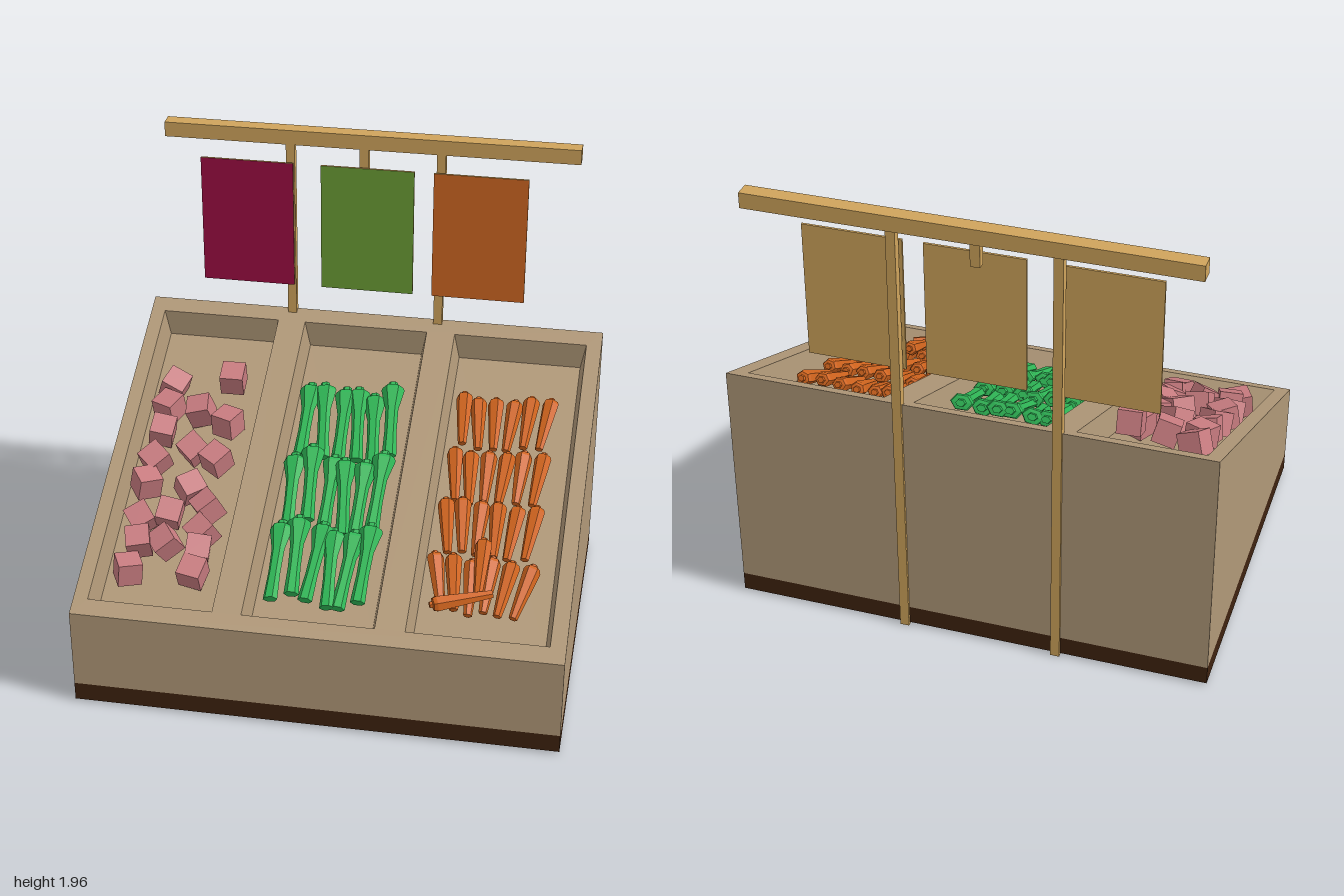
import * as THREE from 'three';

const mat = (name, color) => {
  const m = new THREE.MeshStandardMaterial({ color });
  m.name = name;
  return m;
};

// Flat faces from four-cornered lists [a, b, c, d], counter-clockwise from outside
function quads(list) {
  const pos = [];
  for (const [a, b, c, d] of list) pos.push(...a, ...b, ...c, ...a, ...c, ...d);
  const g = new THREE.BufferGeometry();
  g.setAttribute('position', new THREE.Float32BufferAttribute(pos, 3));
  g.computeVertexNormals();
  return g;
}

// Walls between two four-cornered loops; inward or outward facing
const walls = (top, bot, inward) => [0, 1, 2, 3].map((i) => {
  const j = (i + 1) % 4;
  return inward ? [top[i], top[j], bot[j], bot[i]] : [top[i], bot[i], bot[j], top[j]];
});

const loop = (x0, x1, z0, z1, yBack, yFront = yBack) =>
  [[x0, yBack, z0], [x0, yFront, z1], [x1, yFront, z1], [x1, yBack, z0]];

// Faceted stem turned from a profile, laid down with its last point towards -z
function stem(points, sides, flatten) {
  const g = new THREE.LatheGeometry(points.map(([r, y]) => new THREE.Vector2(r, y)), sides)
    .rotateY(Math.PI / sides).rotateX(-Math.PI / 2).scale(1, flatten, 1).toNonIndexed();
  g.computeVertexNormals();
  return g;
}

export function createModel() {
  const stand = mat('stand wood', 0xb09878);
  const dark = mat('dark plinth', 0x3e220f);
  const pine = mat('pine', 0xcfa45c);
  const pink = mat('pink root', 0xc87c80);
  const green = mat('leaf green', 0x2fb656);
  const orange = mat('carrot orange', 0xd0641e);
  const bannerMats = [mat('banner purple', 0x9a0d42), mat('banner green', 0x6b9c35), mat('banner orange', 0xce6622)];

  const root = new THREE.Group();
  root.name = 'marketStand';
  const add = (parent, name, geo, material, x = 0, y = 0, z = 0) => {
    const m = new THREE.Mesh(geo, material);
    m.name = name;
    m.position.set(x, y, z);
    parent.add(m);
    return m;
  };
  const box = (name, material, x0, x1, y0, y1, z0, z1) => add(root, name,
    new THREE.BoxGeometry(x1 - x0, y1 - y0, z1 - z0), material, (x0 + x1) / 2, (y0 + y1) / 2, (z0 + z1) / 2);

  let seed = 11;
  const jitter = (a) => {
    seed = (seed * 16807) % 2147483647;
    return (seed / 2147483647 * 2 - 1) * a;
  };

  // Plinth and sloping outer walls
  box('plinth', dark, -1, 1, 0.01, 0.09, -0.75, 0.78);
  add(root, 'standWalls', quads(walls(loop(-1, 1, -0.75, 0.78, 1.1, 0.44), loop(-1, 1, -0.75, 0.78, 0.09), false)), stand);

  // Everything on the slope sits in a tilted group: y is the slope's normal, z runs downhill
  const angle = Math.atan2(0.66, 1.53);
  const half = Math.hypot(0.66, 1.53) / 2;
  const slope = new THREE.Group();
  slope.name = 'slopingDisplay';
  slope.position.set(0, 0.77, 0.015);
  slope.rotation.x = angle;
  root.add(slope);

  // Frame with three openings, each with a tapered tray below
  const rect = (P, x0, x1, h) => new P([[x0, -h], [x1, -h], [x1, h], [x0, h]].map((p) => new THREE.Vector2(...p)));
  const frame = rect(THREE.Shape, -1, 1, half);
  const depth = 0.11, open = 0.757;
  for (const [x0, x1] of [[-0.94, -0.425], [-0.305, 0.237], [0.36, 0.935]]) {
    frame.holes.push(rect(THREE.Path, x0, x1, open));
    const floor = loop(x0 + 0.022, x1 - 0.022, -open + 0.04, open - 0.04, -depth);
    add(slope, 'tray', quads([...walls(loop(x0, x1, -open, open, 0), floor, true), floor]), stand);
  }
  add(slope, 'frame', new THREE.ShapeGeometry(frame).rotateX(-Math.PI / 2), stand);

  // Places a piece on the slope from its plan position and height along the normal
  const place = (name, geo, material, x, z, h, rx, ry, rz) =>
    add(slope, name, geo, material, x, h, (z - 0.015 - Math.sin(angle) * h) / Math.cos(angle)).rotation.set(rx, ry, rz, 'YXZ');

  // Pink root cubes
  const cube = new THREE.BoxGeometry(0.1, 0.1, 0.1);
  const cubes = [
    [-0.82, -0.36], [-0.56, -0.36], [-0.82, -0.24], [-0.68, -0.24], [-0.55, -0.19],
    [-0.82, -0.12], [-0.67, -0.05], [-0.82, 0.02], [-0.56, 0], [-0.83, 0.14],
    [-0.64, 0.14], [-0.82, 0.29], [-0.7, 0.27], [-0.55, 0.22], [-0.55, 0.33],
    [-0.8, 0.41], [-0.69, 0.4], [-0.55, 0.41], [-0.82, 0.52], [-0.55, 0.51],
  ];
  cubes.forEach(([x, z], i) => place('rootCube', cube, pink, x, z, (i === 1 ? 0 : -0.035) + jitter(0.01),
    jitter(0.35), jitter(0.75), jitter(0.35)));

  // Green stalks in three overlapping rows, flared at the leafy end
  const stalk = stem([[0, -0.185], [0.031, -0.185], [0.026, -0.06], [0.028, 0.05], [0.05, 0.145],
    [0.044, 0.16], [0.022, 0.163], [0.02, 0.185], [0, 0.185]], 6, 0.75);
  for (const z of [-0.255, 0.075, 0.4]) {
    [-0.22, -0.145, -0.06, 0.005, 0.075, 0.145].forEach((x, i) => place('greenStalk', stalk, green,
      x, z + (i === 1 || i === 5 ? -0.02 : 0.01) + jitter(0.012), -0.05 + jitter(0.012),
      0.07 + jitter(0.03), jitter(0.12), jitter(0.3)));
  }

  // Carrots in four rows, thick end uphill
  const carrot = stem([[0, -0.13], [0.018, -0.13], [0.027, -0.02], [0.036, 0.1], [0.03, 0.115],
    [0.016, 0.118], [0.014, 0.13], [0, 0.13]], 6, 0.9);
  [-0.325, -0.065, 0.18, 0.435].forEach((z, row) => {
    [0.45, 0.515, 0.585, 0.655, 0.725, 0.8].forEach((x, i) => place('carrot', carrot, orange,
      x, z + jitter(0.012), -0.055 + jitter(0.008), 0.06,
      row === 3 ? 0.22 - i * 0.09 : (i - 2.5) * -0.05 + jitter(0.05), jitter(0.3)));
  });
  // Two loose carrots on top of the front row
  place('looseCarrot', carrot, orange, 0.62, 0.39, -0.01, 0.05, 0.02, 0.2);
  place('looseCarrot', carrot, orange, 0.56, 0.55, 0, 0.1, 1.95, 0);

  // Sign posts, beam and hanger
  for (const x of [-0.37, 0.278]) box('signPost', pine, x - 0.019, x + 0.019, 0, 1.89, -0.762, -0.725);
  box('signBeam', pine, -0.915, 0.863, 1.89, 1.955, -0.79, -0.725);
  box('signHanger', pine, -0.071, -0.032, 1.78, 1.89, -0.762, -0.725);

  // Hanging boards, painted on the front only
  [-0.555, -0.033, 0.452].forEach((x, i) => {
    box('signBoard', [pine, pine, pine, pine, bannerMats[i], pine], x - 0.201, x + 0.201, 1.24, 1.815, -0.71, -0.7);
  });
  return root;
}
